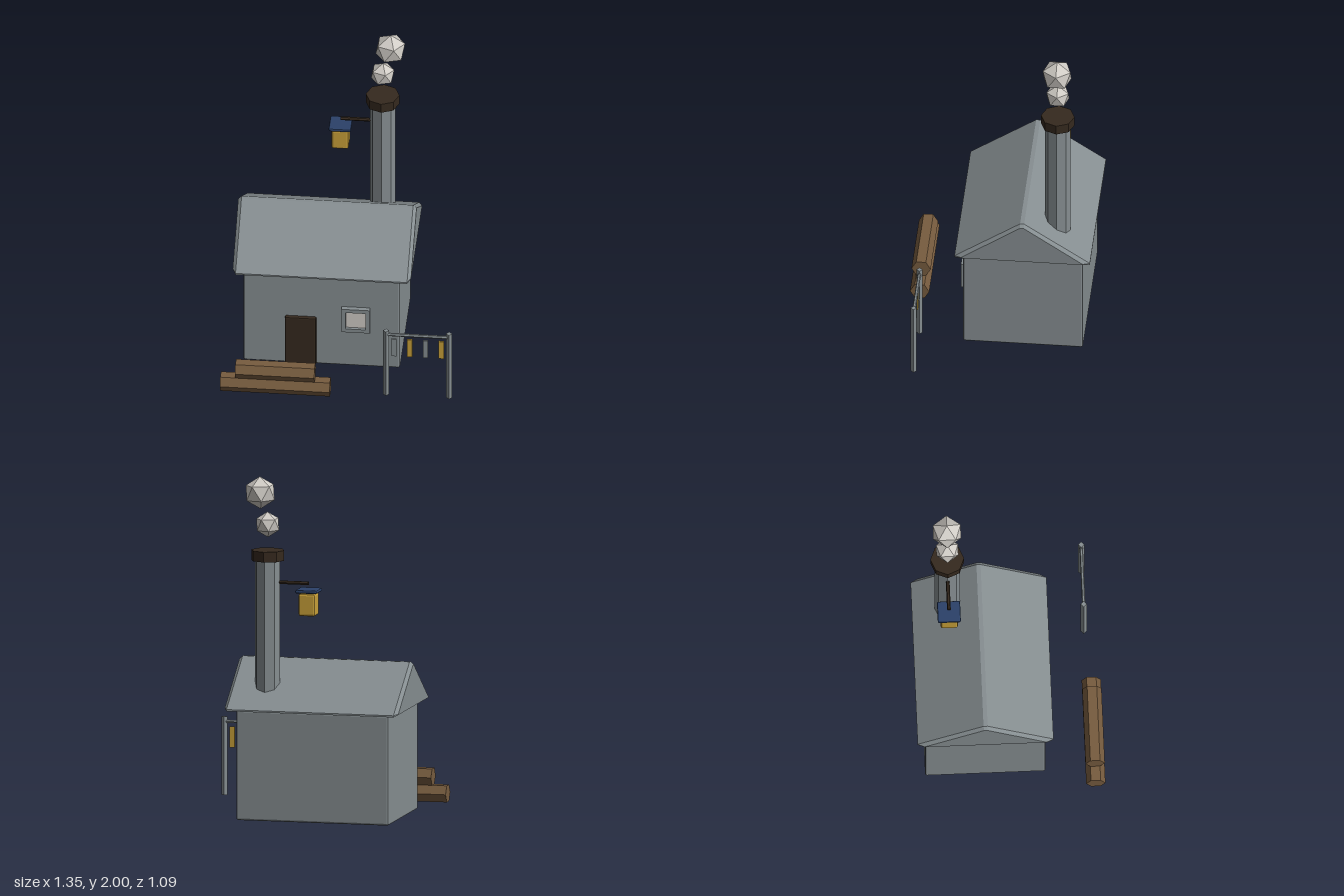
import * as THREE from 'three';
import { RoundedBoxGeometry } from 'three/addons/geometries/RoundedBoxGeometry.js';

export function createModel() {
  const model = new THREE.Group();
  model.name = 'cottage';

  const paint = (name, color) => {
    const m = new THREE.MeshStandardMaterial({ color });
    m.name = name;
    return m;
  };
  const stone = paint('slate grey', 0x868e91);
  const dark = paint('dark wood', 0x35291e);
  const wood = paint('log brown', 0x775c3f);
  const amber = paint('amber', 0xc9a139);
  const navy = paint('navy', 0x2b4169);
  const pale = paint('pale smoke', 0xd0ccc6);

  // Faceted normals
  const flat = (g) => {
    const f = g.index ? g.toNonIndexed() : g;
    f.computeVertexNormals();
    return f;
  };
  const add = (name, geo, mat, x = 0, y = 0, z = 0) => {
    const mesh = new THREE.Mesh(flat(geo), mat);
    mesh.name = name;
    mesh.position.set(x, y, z);
    model.add(mesh);
    return mesh;
  };
  // Box from its limits, with optional chamfered edges
  const box = (name, mat, [x0, x1], [y0, y1], [z0, z1], bevel = 0) => {
    const s = [x1 - x0, y1 - y0, z1 - z0];
    const geo = bevel ? new RoundedBoxGeometry(...s, 1, bevel) : new THREE.BoxGeometry(...s);
    return add(name, geo, mat, (x0 + x1) / 2, (y0 + y1) / 2, (z0 + z1) / 2);
  };
  // Prism lying along x
  const rod = (name, mat, x0, x1, y, z, r, sides) => {
    const geo = new THREE.CylinderGeometry(r, r, x1 - x0, sides).rotateZ(Math.PI / 2);
    return add(name, geo, mat, (x0 + x1) / 2, y, z);
  };

  // House walls
  box('walls', stone, [-0.57, 0.345], [0, 0.648], [-0.495, 0.205], 0.012);

  // Gable roof: rings of [z, y] points along x, slightly inset at both ends
  const full = [[0.395, 0.645], [0.395, 0.655], [0.012, 0.915], [-0.012, 0.915], [-0.395, 0.655], [-0.395, 0.645]];
  const inset = [[0.355, 0.655], [0.355, 0.66], [0.01, 0.898], [-0.01, 0.898], [-0.355, 0.66], [-0.355, 0.655]];
  const rings = [[-0.63, inset], [-0.61, full], [0.39, full], [0.41, inset]];
  const n = full.length;
  const pos = rings.flatMap(([x, ring]) => ring.flatMap(([z, y]) => [x, y, z - 0.145]));
  const idx = [];
  for (let r = 0; r < 3; r++) {
    for (let i = 0; i < n; i++) {
      const a = r * n + i, b = r * n + (i + 1) % n;
      idx.push(a, a + n, b, b, a + n, b + n);
    }
  }
  for (let i = 1; i < n - 1; i++) {
    idx.push(0, i, i + 1, 3 * n, 3 * n + i + 1, 3 * n + i);
  }
  const roof = new THREE.BufferGeometry();
  roof.setAttribute('position', new THREE.Float32BufferAttribute(pos, 3));
  roof.setIndex(idx);
  add('roof', roof, stone);

  // Chimney with cap and smoke puffs
  add('chimney', new THREE.CylinderGeometry(0.075, 0.075, 1.52, 8), stone, 0.195, 0.77, -0.335);
  add('chimneyCap', new THREE.CylinderGeometry(0.098, 0.098, 0.06, 8), dark, 0.195, 1.54, -0.335);
  for (const [x, y, r] of [[0.195, 1.72, 0.075], [0.24, 1.905, 0.095]]) {
    add('smokePuff', new THREE.IcosahedronGeometry(r, 0).rotateZ(-0.58), pale, x, y, -0.335);
  }

  // Lantern on its arm
  rod('lanternArm', dark, -0.05, 0.14, 1.383, -0.335, 0.011, 6);
  box('lanternLid', navy, [-0.115, 0.015], [1.33, 1.35], [-0.402, -0.268], 0.008);
  box('lanternBody', amber, [-0.1, 0], [1.195, 1.326], [-0.385, -0.285], 0.012);

  // Door and window
  box('door', dark, [-0.325, -0.143], [0.005, 0.34], [0.19, 0.228], 0.008);
  const frame = new THREE.Shape();
  frame.moveTo(-0.083, -0.082).lineTo(0.083, -0.082).lineTo(0.083, 0.082).lineTo(-0.083, 0.082).closePath();
  const hole = new THREE.Path();
  hole.moveTo(-0.058, -0.058).lineTo(-0.058, 0.058).lineTo(0.058, 0.058).lineTo(0.058, -0.058).closePath();
  frame.holes.push(hole);
  add('windowFrame', new THREE.ExtrudeGeometry(frame, { depth: 0.03, bevelEnabled: false }), stone, 0.088, 0.342, 0.203);
  box('windowPane', pale, [0.03, 0.146], [0.284, 0.4], [0.206, 0.215]);

  // Stacked logs
  rod('lowerLog', wood, -0.675, -0.035, 0.052, 0.493, 0.056, 6).rotation.x = 0;
  rod('upperLog', wood, -0.587, -0.125, 0.148, 0.493, 0.056, 6);

  // Washing line with hanging cloths
  for (const x of [0.287, 0.655]) {
    add('linePost', new THREE.CylinderGeometry(0.018, 0.018, 0.46, 4), stone, x, 0.23, 0.463);
  }
  rod('lineBar', stone, 0.287, 0.655, 0.432, 0.463, 0.01, 6);
  for (let i = 0; i < 4; i++) {
    const x = 0.333 + i * 0.092;
    box('cloth', i % 2 ? amber : stone, [x - 0.015, x + 0.015], [0.28, 0.402], [0.458, 0.468]);
  }

  return model;
}
